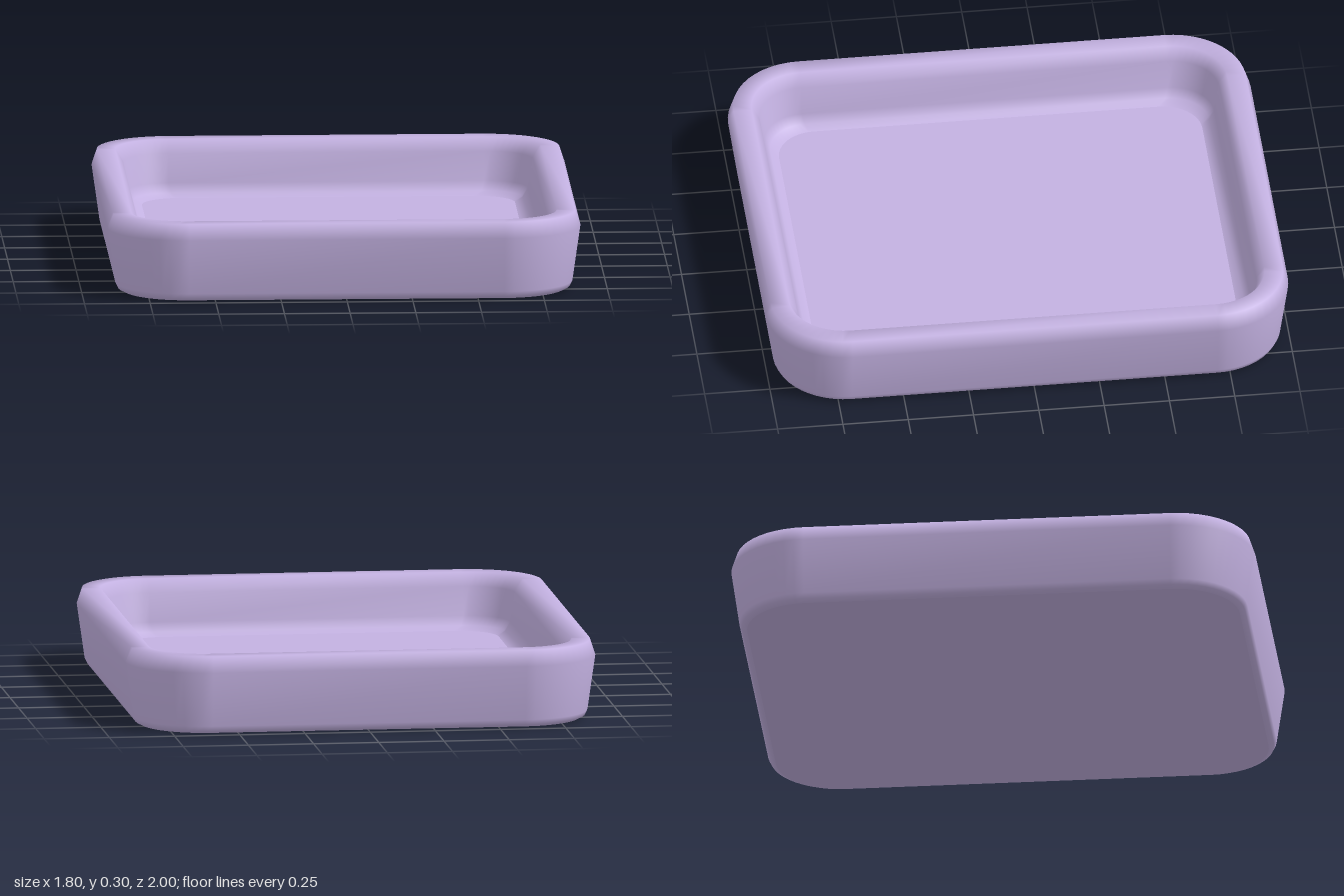
import * as THREE from 'three';

const HALF_X = 0.9, HALF_Z = 1.0, RADIUS = 0.3, CORNER_STEPS = 12;
const material = new THREE.MeshStandardMaterial({ color: 0xc3b1e1 });

// Rounded-rectangle outline, drawn in by the given inset at height y
function ring(inset, y) {
  const r = Math.max(RADIUS - inset, 0.15);
  const cx = HALF_X - inset - r, cz = HALF_Z - inset - r;
  const points = [];
  [[1, 1], [-1, 1], [-1, -1], [1, -1]].forEach(([sx, sz], corner) => {
    for (let k = 0; k <= CORNER_STEPS; k++) {
      const a = (corner + k / CORNER_STEPS) * Math.PI / 2;
      points.push([sx * cx + r * Math.cos(a), y, sz * cz + r * Math.sin(a)]);
    }
  });
  return points;
}

function makeMesh(name, points, index) {
  const geometry = new THREE.BufferGeometry();
  geometry.setAttribute('position', new THREE.Float32BufferAttribute(points.flat(), 3));
  geometry.setIndex(index);
  geometry.computeVertexNormals();
  const mesh = new THREE.Mesh(geometry, material);
  mesh.name = name;
  return mesh;
}

// Smooth skin through a stack of rings
function loft(name, profile) {
  const rings = profile.map(([inset, y]) => ring(inset, y));
  const n = rings[0].length, index = [];
  for (let i = 0; i < rings.length - 1; i++) {
    for (let j = 0; j < n; j++) {
      const a = i * n + j, b = i * n + (j + 1) % n;
      index.push(a, a + n, b, b, a + n, b + n);
    }
  }
  return makeMesh(name, rings.flat(), index);
}

// Flat fan closing one ring
function cap(name, inset, y, faceUp) {
  const points = [...ring(inset, y), [0, y, 0]];
  const n = points.length - 1, index = [];
  for (let j = 0; j < n; j++) {
    const k = (j + 1) % n;
    index.push(n, faceUp ? k : j, faceUp ? j : k);
  }
  return makeMesh(name, points, index);
}

export function createModel() {
  const tray = new THREE.Group();
  tray.name = 'tray';

  // Wall section as [inset, height]: outside, over the rim, down to the floor
  const wall = [
    [0.06, 0], [0.04, 0.01], [0.03, 0.03],
    [0, 0.24], [0.02, 0.3],
    [0.09, 0.3], [0.12, 0.25],
    [0.14, 0.14], [0.16, 0.105], [0.19, 0.09],
  ];
  const first = wall[0], last = wall[wall.length - 1];
  tray.add(
    loft('wall', wall),
    cap('floor', last[0], last[1], true),
    cap('underside', first[0], first[1], false),
  );
  return tray;
}
